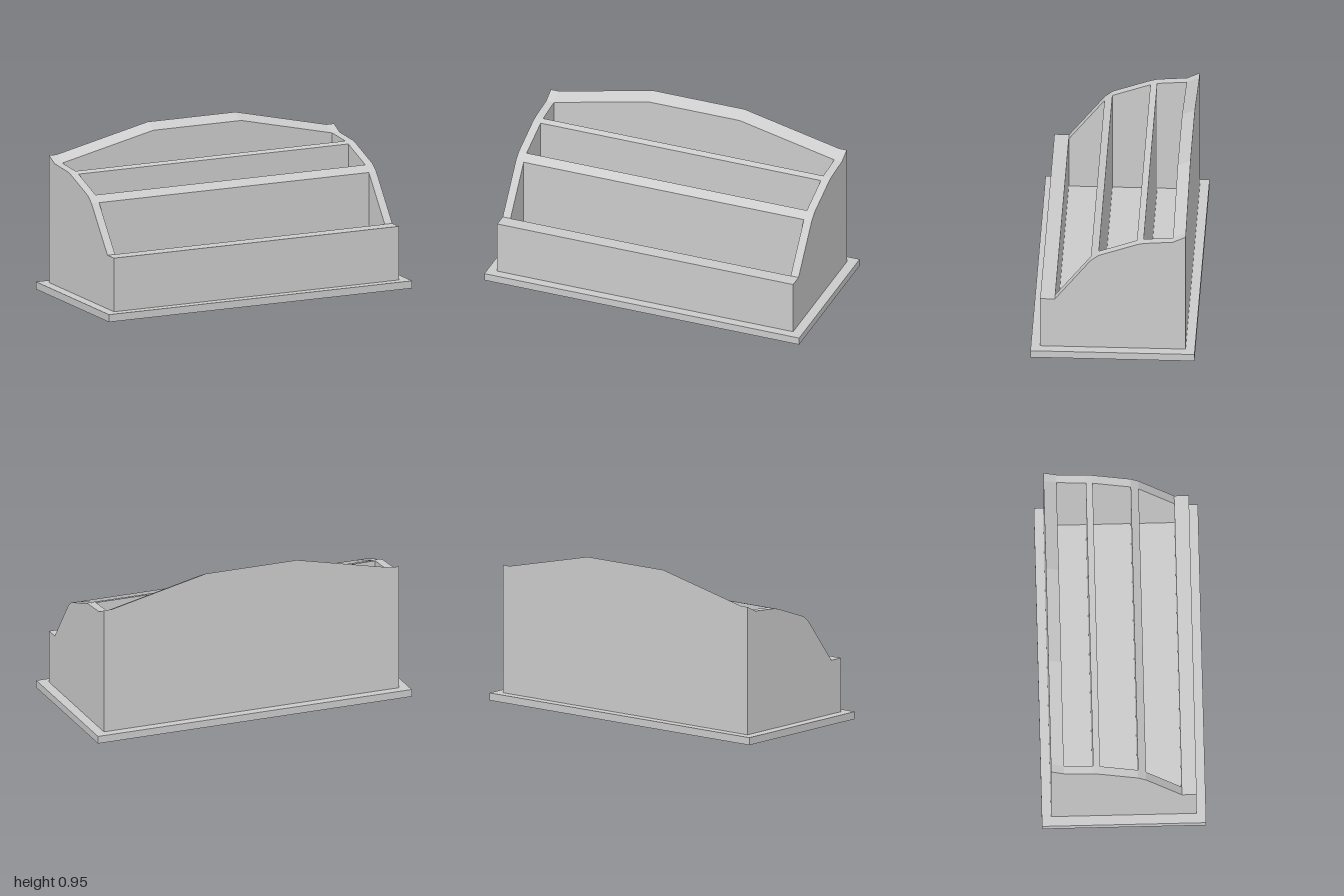
import * as THREE from 'three';

const FLOOR = 0.045;      // top of the base plate
const OUTER = 0.94;       // half width of the body
const INNER = 0.89;       // half width of the compartments

export function createModel() {
  const group = new THREE.Group();
  group.name = 'letterHolder';
  const material = new THREE.MeshStandardMaterial({ color: 0xcccccc, flatShading: true });

  const add = (name, geometry) => {
    const mesh = new THREE.Mesh(geometry, material);
    mesh.name = name;
    group.add(mesh);
  };

  // Solid under a line of [z, y] points (back to front), running across x
  const slab = (name, top, width, x = 0) => {
    const shape = new THREE.Shape();
    shape.moveTo(top[0][0], FLOOR);
    shape.lineTo(top[top.length - 1][0], FLOOR);
    for (const [z, y] of [...top].reverse()) shape.lineTo(z, y);
    shape.closePath();
    const geometry = new THREE.ExtrudeGeometry(shape, { depth: width, bevelEnabled: false });
    geometry.rotateY(-Math.PI / 2).translate(x + width / 2, 0, 0);
    add(name, geometry);
  };

  // Base plate
  add('basePlate', new THREE.BoxGeometry(2, FLOOR, 0.97).translate(0, FLOOR / 2, 0));

  // Stepped rim line shared by the side walls and the dividers
  const rim = [
    [-0.354, 0.78], [-0.18, 0.767], [-0.14, 0.757],
    [0.085, 0.677], [0.132, 0.64], [0.343, 0.37],
  ];
  const thickness = OUTER - INNER;
  slab('leftWall', rim, thickness, (OUTER + INNER) / 2);
  slab('rightWall', rim, thickness, -(OUTER + INNER) / 2);
  slab('rearDivider', rim.slice(1, 3), 2 * INNER);
  slab('frontDivider', rim.slice(3, 5), 2 * INNER);
  slab('frontWall', [[0.343, 0.37], [0.43, 0.37]], 2 * OUTER);

  // Back panel with a raised middle, its top edge sloping up to the rear
  const back = new THREE.Shape();
  back.moveTo(-OUTER, FLOOR);
  back.lineTo(OUTER, FLOOR);
  for (const [x, y] of [[OUTER, 0.78], [INNER, 0.78], [0.29, 0.917],
    [-0.29, 0.917], [-INNER, 0.78], [-OUTER, 0.78]]) back.lineTo(x, y);
  back.closePath();
  const backGeometry = new THREE.ExtrudeGeometry(back, { depth: 0.076, bevelEnabled: false });
  const p = backGeometry.attributes.position;
  for (let i = 0; i < p.count; i++) {
    if (p.getZ(i) < 0.01 && p.getY(i) > 0.5) p.setY(i, p.getY(i) + 0.036);
  }
  backGeometry.translate(0, 0, -0.43);
  backGeometry.computeVertexNormals();
  add('backPanel', backGeometry);

  return group;
}
